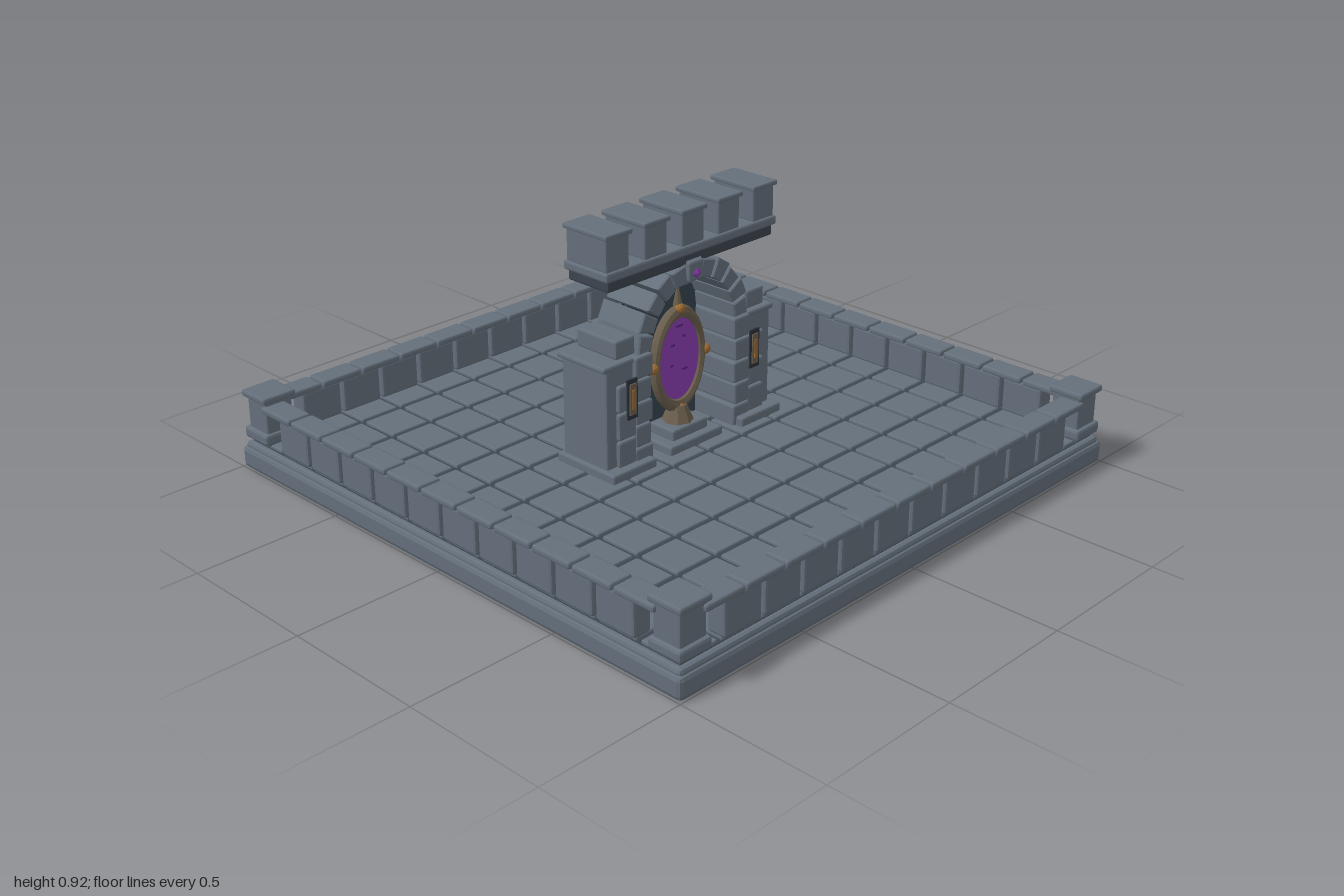
import * as THREE from 'three';
import { mergeGeometries } from 'three/addons/utils/BufferGeometryUtils.js';
import { RoundedBoxGeometry } from 'three/addons/geometries/RoundedBoxGeometry.js';

const paint = (name, color) => {
  const m = new THREE.MeshStandardMaterial({ color, flatShading: true });
  m.name = name;
  return m;
};

export function createModel() {
  const stone = paint('stone', 0x646f7b);
  const grout = paint('grout', 0x3c454f);
  const slate = paint('slate', 0x35424f);
  const iron = paint('iron', 0x2c323a);
  const bronze = paint('bronze', 0x6b5f4e);
  const gold = paint('gold', 0x9a6a32);
  const purple = paint('purple', 0x8a3fb0);
  const violet = paint('violet', 0x5a2480);
  const model = new THREE.Group();
  model.name = 'castleGate';

  const add = (name, material, ...geos) => {
    const flat = geos.map(g => (g.index ? g.toNonIndexed() : g));
    const mesh = new THREE.Mesh(flat.length > 1 ? mergeGeometries(flat) : flat[0], material);
    mesh.name = name;
    model.add(mesh);
    return mesh;
  };
  // chamfered block and plain box given by their min / max corners
  const block = (x0, x1, y0, y1, z0, z1, r = 0.007) =>
    new RoundedBoxGeometry(x1 - x0, y1 - y0, z1 - z0, 1, r)
      .translate((x0 + x1) / 2, (y0 + y1) / 2, (z0 + z1) / 2);
  const box = (x0, x1, y0, y1, z0, z1) =>
    new THREE.BoxGeometry(x1 - x0, y1 - y0, z1 - z0)
      .translate((x0 + x1) / 2, (y0 + y1) / 2, (z0 + z1) / 2);
  // the same block on both sides of the gate
  const pair = (x0, x1, ...rest) => [block(x0, x1, ...rest), block(-x1, -x0, ...rest)];

  // plinth and paved floor
  add('base', stone, block(-1, 1, 0, 0.077, -1, 1, 0.016), block(-0.99, 0.99, 0.06, 0.093, -0.99, 0.99, 0.012));
  add('floorGrout', grout, box(-0.97, 0.97, 0.085, 0.095, -0.97, 0.97));
  const P = 0.1625, tiles = [];
  for (let i = 0; i < 12; i++) for (let j = 0; j < 12; j++) {
    const x = (i - 5.5) * P, z = (j - 5.5) * P;
    tiles.push(block(x - 0.073, x + 0.073, 0.085, 0.106, z - 0.073, z + 0.073, 0.005));
  }
  add('floorTiles', stone, ...tiles);

  // low wall: blocks with open joints, copings staggered by half a block
  for (let s = 0; s < 4; s++) {
    const parts = [];
    for (let i = 1; i < 11; i++) {
      const x = (i - 5.5) * P;
      parts.push(block(x - 0.075, x + 0.075, 0.102, 0.226, 0.912, 0.978, 0.009));
    }
    for (let i = -5; i <= 5; i++)
      parts.push(block(i * P - 0.077, i * P + 0.077, 0.222, 0.245, 0.903, 0.988));
    add('wallSide', stone, ...parts.map(g => g.rotateY(s * Math.PI / 2)));
    add('cornerPost', stone, ...[
      block(0.875, 0.977, 0.1, 0.262, 0.875, 0.977),
      block(0.865, 0.99, 0.108, 0.148, 0.865, 0.99, 0.01),
      block(0.865, 0.99, 0.254, 0.277, 0.865, 0.99),
    ].map(g => g.rotateY(s * Math.PI / 2)));
  }

  // gate jambs, buttresses, footings and shoulder blocks
  const jambs = [];
  for (let i = 0; i < 5; i++) {
    const y = 0.1 + i * 0.078;
    jambs.push(...pair(i % 2 ? 0.195 : 0.188, 0.262, y, y + 0.074, -0.093, 0.097));
  }
  add('jambs', stone, ...jambs);
  add('buttresses', stone, ...pair(0.255, 0.375, 0.1, 0.472, -0.12, 0.08));
  add('buttressCaps', stone, ...pair(0.255, 0.39, 0.465, 0.485, -0.13, 0.084));
  add('footings', stone, ...pair(0.2, 0.39, 0.1, 0.135, -0.135, 0.125));
  add('facingBlocks', stone, ...[0.13, 0.225, 0.32].flatMap(y => pair(0.26, 0.335, y, y + 0.09, 0.02, 0.095)));
  add('shoulderBlocks', stone, ...pair(0.255, 0.338, 0.498, 0.56, -0.09, 0.085));

  // arch ring of wedge stones
  const wedges = [], N = 11;
  for (let i = 0; i < N; i++) {
    const a = (i + 0.06) * Math.PI / N, b = (i + 0.94) * Math.PI / N;
    const r0 = 0.19, r1 = i === 5 ? 0.258 : 0.25 + 0.008 * (i % 2);
    const s = new THREE.Shape();
    [[r0, a], [r1, a], [r1, b], [r0, b]].forEach(([r, t], k) =>
      s[k ? 'lineTo' : 'moveTo'](r * Math.cos(t), r * Math.sin(t)));
    wedges.push(new THREE.ExtrudeGeometry(s, {
      depth: 0.178, bevelThickness: 0.005, bevelSize: 0.004, bevelOffset: -0.004, bevelSegments: 1,
    }).translate(0, 0.488, -0.088));
  }
  add('archStones', stone, ...wedges);
  add('keystone', stone, block(-0.034, 0.034, 0.675, 0.742, 0.03, 0.104));
  const gem = add('keystoneGem', purple, new THREE.OctahedronGeometry(0.02));
  gem.position.set(0, 0.7, 0.104);
  gem.scale.z = 0.4;

  // parapet and merlons
  add('parapetUnderside', grout, block(-0.37, 0.37, 0.728, 0.768, -0.088, 0.088));
  add('parapet', stone, block(-0.382, 0.382, 0.764, 0.795, -0.096, 0.096));
  const merlons = [];
  for (let i = -2; i <= 2; i++) {
    const x = i * 0.1635;
    merlons.push(block(x - 0.049, x + 0.049, 0.79, 0.905, -0.088, 0.088),
      block(x - 0.057, x + 0.057, 0.898, 0.915, -0.096, 0.096, 0.005));
  }
  add('merlons', stone, ...merlons);

  // rear door slab and thin bars above it
  add('doorSlab', slate, box(-0.19, 0.19, 0.1, 0.572, -0.1, -0.08));
  add('doorBars', iron, box(-0.16, 0.16, 0.59, 0.596, -0.07, -0.064),
    ...[-0.075, 0.075].map(x => box(x - 0.003, x + 0.003, 0.57, 0.665, -0.07, -0.064)));

  // oval portal: frame, glowing disc, marks
  const Z = 0.02, cy = 0.385;
  const frame = add('portalFrame', bronze, new THREE.TorusGeometry(0.104, 0.015, 8, 40));
  frame.position.set(0, cy, Z);
  frame.scale.set(1, 1.55, 1.3);
  const disc = add('portalDisc', purple, new THREE.CylinderGeometry(0.1, 0.1, 0.012, 40).rotateX(Math.PI / 2));
  disc.position.set(0, cy, Z);
  disc.scale.y = 1.6;
  const marks = [[-0.03, 0.44, 0.018], [0.025, 0.345, 0.024], [0, 0.5, 0.03], [-0.035, 0.37, 0.014], [0.02, 0.46, 0.012]];
  add('portalMarks', violet, ...marks.map(([x, y, w]) => box(x - w / 2, x + w / 2, y - 0.004, y + 0.004, Z + 0.004, Z + 0.009)));

  // studs, finial and pedestal of the portal
  add('portalStuds', gold, ...[[-0.119, cy], [0.119, cy], [0, cy + 0.175], [0, cy - 0.17]].map(([x, y]) =>
    new THREE.IcosahedronGeometry(0.019, 1).translate(x, y, Z + 0.008)));
  add('portalFinial', bronze, new THREE.ConeGeometry(0.016, 0.085, 8).translate(0, 0.61, Z));
  add('pedestal', stone, block(-0.12, 0.12, 0.1, 0.135, Z - 0.07, Z + 0.09), block(-0.08, 0.08, 0.13, 0.17, Z - 0.05, Z + 0.06));
  add('pedestalNeck', bronze, new THREE.CylinderGeometry(0.03, 0.055, 0.06, 8).translate(0, 0.195, Z));

  // wall lanterns on both sides
  for (const s of [-1, 1]) {
    const x = s * 0.282;
    add('lanternPlate', iron, box(x - 0.022, x + 0.022, 0.29, 0.425, 0.093, 0.1));
    add('lanternFrame', bronze, box(x - 0.014, x + 0.014, 0.305, 0.41, 0.098, 0.104));
    add('lanternLight', gold, box(x - 0.006, x + 0.006, 0.325, 0.39, 0.102, 0.107));
  }
  return model;
}
